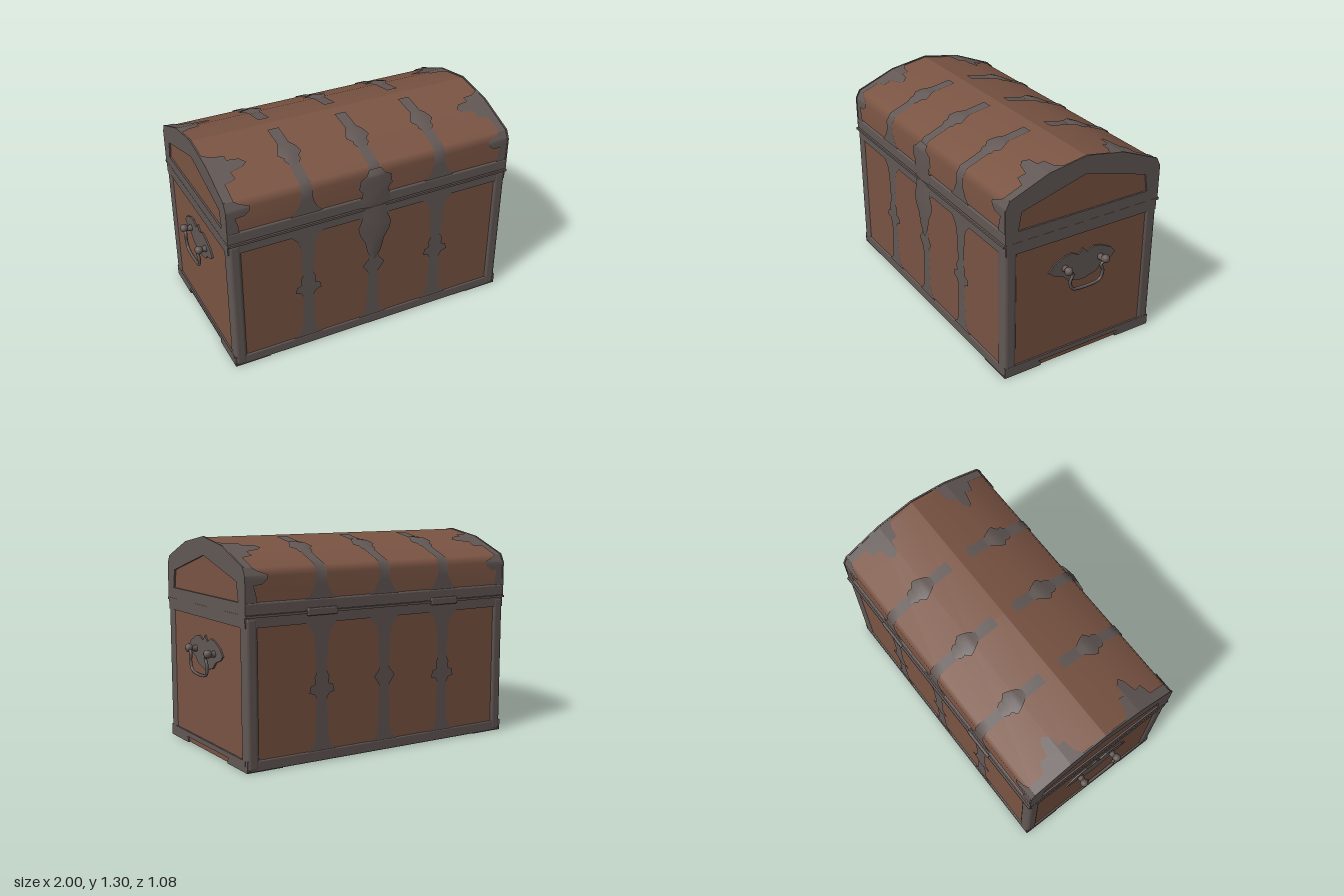
import * as THREE from 'three';
import { RoundedBoxGeometry } from 'three/addons/geometries/RoundedBoxGeometry.js';

const mat = (name, color, side) => new THREE.MeshStandardMaterial({ name, color, side });

// Half of the chest's cross-section as [z, y]: up the wall, then over the lid.
const PATH = [[0.517, 0], [0.517, 1.1], [0.492, 1.147], [0.247, 1.247], [0, 1.292]];
const LEN = [0];
for (let i = 1; i < PATH.length; i++)
  LEN.push(LEN[i - 1] + Math.hypot(PATH[i][0] - PATH[i - 1][0], PATH[i][1] - PATH[i - 1][1]));
const END = LEN[LEN.length - 1];
const NORMALS = [[1, 0], [0.96, 0.28], [0.7, 0.71], [0.28, 0.96], [0, 1]];

// Point on the cross-section at distance s from the floor, raised by off.
function onPath(s, off) {
  let i = 1;
  while (i < LEN.length - 1 && s > LEN[i]) i++;
  const t = (s - LEN[i - 1]) / (LEN[i] - LEN[i - 1]);
  const at = (k) => THREE.MathUtils.lerp(PATH[i - 1][k] + off * NORMALS[i - 1][k], PATH[i][k] + off * NORMALS[i][k], t);
  return [at(0), at(1)];
}

// Thin plate that hugs the chest. Rows are [s, xLeft, xRight, bulge]; side is +1 front, -1 back.
function strip(rows, side, off) {
  const all = rows.map((r) => [r[0], r[1], r[2], r[3] || 0]);
  for (const bend of LEN) {
    const i = all.findIndex((r) => r[0] > bend + 1e-4);
    if (i < 1 || Math.abs(all[i - 1][0] - bend) < 1e-4) continue;
    const a = all[i - 1], b = all[i], t = (bend - a[0]) / (b[0] - a[0]);
    all.splice(i, 0, a.map((v, k) => v + (b[k] - v) * t));
  }
  const pos = [], idx = [];
  all.forEach(([s, x0, x1, bulge], j) => {
    for (let c = 0; c < 3; c++) {
      const [z, y] = onPath(s, off + (c === 1 ? bulge : 0));
      pos.push(x0 + (x1 - x0) * c / 2, y, z * side);
      if (j && c) {
        const d = j * 3 + c, e = d - 1, b = d - 3, a = d - 4;
        if (side > 0) idx.push(a, b, d, a, d, e);
        else idx.push(a, d, b, a, e, d);
      }
    }
  });
  const g = new THREE.BufferGeometry();
  g.setAttribute('position', new THREE.Float32BufferAttribute(pos, 3));
  g.setIndex(idx);
  g.computeVertexNormals();
  return g;
}

// Symmetric rows [s, halfWidth, bulge] around centre x.
const around = (x, rows) => rows.map(([s, w, b]) => [s, x - w, x + w, b]);
const mirrored = (half) => half.concat(half.filter((p) => p[0] !== 0).reverse().map(([u, y]) => [-u, y]));
const shapeOf = (pts) => new THREE.Shape(pts.map((p) => new THREE.Vector2(p[0], p[1])));

export function createModel() {
  const chest = new THREE.Group();
  chest.name = 'chest';
  const wood = mat('brown wood', 0x7a5443, THREE.FrontSide);
  const iron = mat('dark iron', 0x625855, THREE.DoubleSide);

  const add = (name, geo, material, x = 0, y = 0, z = 0) => {
    const m = new THREE.Mesh(geo, material);
    m.name = name;
    m.position.set(x, y, z);
    chest.add(m);
    return m;
  };
  const addEnd = (name, shape, depth, material, sx, x) => {
    const geo = new THREE.ExtrudeGeometry(shape, { depth, bevelEnabled: false });
    const m = add(name, geo, material, sx * x);
    m.rotation.y = sx * Math.PI / 2;
    return m;
  };
  const box = (name, w, h, d, x, y, z, r = 0) =>
    add(name, r ? new RoundedBoxGeometry(w, h, d, 3, r) : new THREE.BoxGeometry(w, h, d), iron, x, y, z);

  // Wooden body
  add('bodyPanels', new THREE.BoxGeometry(1.84, 0.875, 1.034), wood, 0, 0.4405, 0);

  // Lid ends: wooden panel behind an iron border
  const outer = [0.517, 0.517, 0.492, 0.247, 0].map((z, i) => [z, i ? PATH[i][1] : 0.88]);
  const rim = [[0.527, 0.885], [0.527, 1.103], [0.5, 1.155], [0.25, 1.256], [0, 1.298]];
  const window = [[0.443, 0.957], [0.423, 1.07], [0, 1.188]];
  const border = shapeOf(mirrored(rim));
  border.holes.push(new THREE.Path(mirrored(window).map((p) => new THREE.Vector2(...p))));

  for (const sx of [-1, 1]) {
    addEnd('lidEndPanel', shapeOf(mirrored(outer)), 0.02, wood, sx, 0.9);
    addEnd('lidEndBorder', border, 0.01, iron, sx, 0.92);

    // End rails
    box('endTopRail', 0.03, 0.06, 1.04, sx * 0.915, 0.848, 0);
    box('endLidRail', 0.03, 0.05, 1.05, sx * 0.915, 0.92, 0, 0.012);
    box('endBottomRail', 0.03, 0.032, 1.0, sx * 0.915, 0.052, 0);

    for (const sz of [-1, 1]) {
      // Rounded corner posts and feet
      box('cornerPost', 0.08, 0.88, 0.085, sx * 0.889, 0.44, sz * 0.486, 0.025);
      const foot = shapeOf([[0, 0], [0.25, 0], [0.25, 0.02], [0.2, 0.068], [0, 0.068]]);
      const f = addEnd('cornerFoot', foot, 0.01, iron, sx, 0.919);
      f.position.z = sz * 0.525;
      if (sx * sz < 0) f.scale.x = -1;
      if (sx * sz > 0) f.scale.x = 1;
      const base = new THREE.BufferGeometry();
      const tri = [[0.925, 0.525], [0.925, 0.3], [0.7, 0.525]].flatMap(([x, z]) => [x * sx, 0.001, z * sz]);
      base.setAttribute('position', new THREE.Float32BufferAttribute(tri, 3));
      base.setIndex(sx * sz > 0 ? [0, 2, 1] : [0, 1, 2]);
      base.computeVertexNormals();
      add('baseCorner', base, iron);

      // Lid edge strap with two pointed leaves
      const edge = (rows) => rows.map(([s, x]) => (sx > 0 ? [s, x, 0.93] : [s, -0.93, -x]));
      add('lidEdgeStrap', strip(edge([[0.9, 0.85], [1.0, 0.86], [1.05, 0.875], [1.055, 0.82], [1.08, 0.79],
        [1.11, 0.785], [1.13, 0.84], [1.15, 0.87], [1.27, 0.87], [1.29, 0.8], [1.34, 0.81], [1.36, 0.73],
        [1.385, 0.7], [1.42, 0.73], [1.43, 0.8], [1.47, 0.8], [1.48, 0.87], [1.52, 0.93]]), sz, 0.007), iron);
    }
  }

  // Front and back
  for (const sz of [1, -1]) {
    add('lidSkin', strip([[0.88, -0.92, 0.92], [END, -0.92, 0.92]], sz, 0), wood);
    box('bottomRail', 1.82, 0.064, 0.02, 0, 0.034, sz * 0.516, 0.008);
    box('bodyTopRail', 1.82, 0.06, 0.02, 0, 0.848, sz * 0.516);
    box('lidRail', 1.858, 0.075, 0.03, 0, 0.922, sz * 0.512, 0.012);

    for (const x of [-0.44, 0, 0.44]) {
      // Straps flaring into the rails
      add('bodyStrap', strip(around(x, [[0.06, 0.1], [0.09, 0.06], [0.14, 0.042], [0.36, 0.035], [0.55, 0.035],
        [0.72, 0.045], [0.77, 0.06], [0.83, 0.115]]), sz, 0.006), iron);
      add('lidStrap', strip(around(x, [[0.94, 0.115], [0.99, 0.065], [1.04, 0.04], [1.2, 0.033], [1.6, 0.036]]),
        sz, 0.006), iron);
      // Leaf ornaments
      add('lidRosette', strip(around(x, [[1.285, 0.025], [1.32, 0.05, 0.006], [1.34, 0.045, 0.008], [1.37, 0.075, 0.012],
        [1.4, 0.065, 0.012], [1.43, 0.05, 0.006], [1.47, 0.025]]), sz, 0.009), iron);
      const leaf = x === 0
        ? [[0.37, 0.015], [0.42, 0.045], [0.46, 0.075], [0.5, 0.04], [0.55, 0.015]]
        : [[0.35, 0.02], [0.4, 0.05], [0.41, 0.085], [0.45, 0.075], [0.46, 0.045], [0.5, 0.05], [0.54, 0.03]];
      add('bodyLeaf', strip(around(x, leaf), sz, 0.009), iron);
      // Hinge plates at the back
      if (sz < 0 && x) box('hinge', 0.2, 0.045, 0.02, x, 0.885, -0.532, 0.008);
    }
  }

  // Lip between body and lid
  box('lidLip', 1.862, 0.014, 1.075, 0, 0.883, 0);

  // Lock: hasp on the lid and a pointed shield below
  add('hasp', strip(around(0, [[0.885, 0.08, 0.006], [0.92, 0.1, 0.01], [0.99, 0.085, 0.012], [1.02, 0.11, 0.01],
    [1.08, 0.1, 0.01], [1.1, 0.06, 0.008], [1.13, 0.04]]), 1, 0.014), iron);
  add('lockShield', strip(around(0, [[0.5, 0.008], [0.56, 0.045, 0.008], [0.64, 0.065, 0.012], [0.7, 0.1, 0.012],
    [0.75, 0.11, 0.012], [0.81, 0.085, 0.01], [0.88, 0.08, 0.008]]), 1, 0.014), iron);
  box('lockBolt', 0.09, 0.2, 0.02, 0, 0.8, 0.525, 0.008);

  // Side handles: winged plate, two knobs and a hanging bail
  const wing = shapeOf(mirrored([[0, 0.505], [0.1, 0.53], [0.14, 0.57], [0.2, 0.59], [0.235, 0.62], [0.2, 0.66],
    [0.13, 0.695], [0.08, 0.705], [0.03, 0.68], [0, 0.715]]));
  for (const sx of [-1, 1]) {
    addEnd('handlePlate', wing, 0.009, iron, sx, 0.92);
    for (const sz of [-1, 1]) {
      const stem = add('handleStem', new THREE.CylinderGeometry(0.014, 0.022, 0.06, 8), iron, sx * 0.95, 0.62, sz * 0.125);
      stem.rotation.z = -sx * Math.PI / 2;
      add('handleKnob', new THREE.SphereGeometry(0.026, 10, 8), iron, sx * 0.974, 0.625, sz * 0.13);
    }
    const bail = [[0.976, 0.62, 0.14], [0.975, 0.6, 0.1], [0.972, 0.55, 0.115], [0.97, 0.5, 0.1], [0.97, 0.487, 0.07]];
    const pts = bail.concat(bail.slice().reverse().map(([x, y, z]) => [x, y, -z]))
      .map(([x, y, z]) => new THREE.Vector3(x * sx, y, z));
    add('handleBail', new THREE.TubeGeometry(new THREE.CatmullRomCurve3(pts), 40, 0.01, 6), iron);
  }
  return chest;
}
